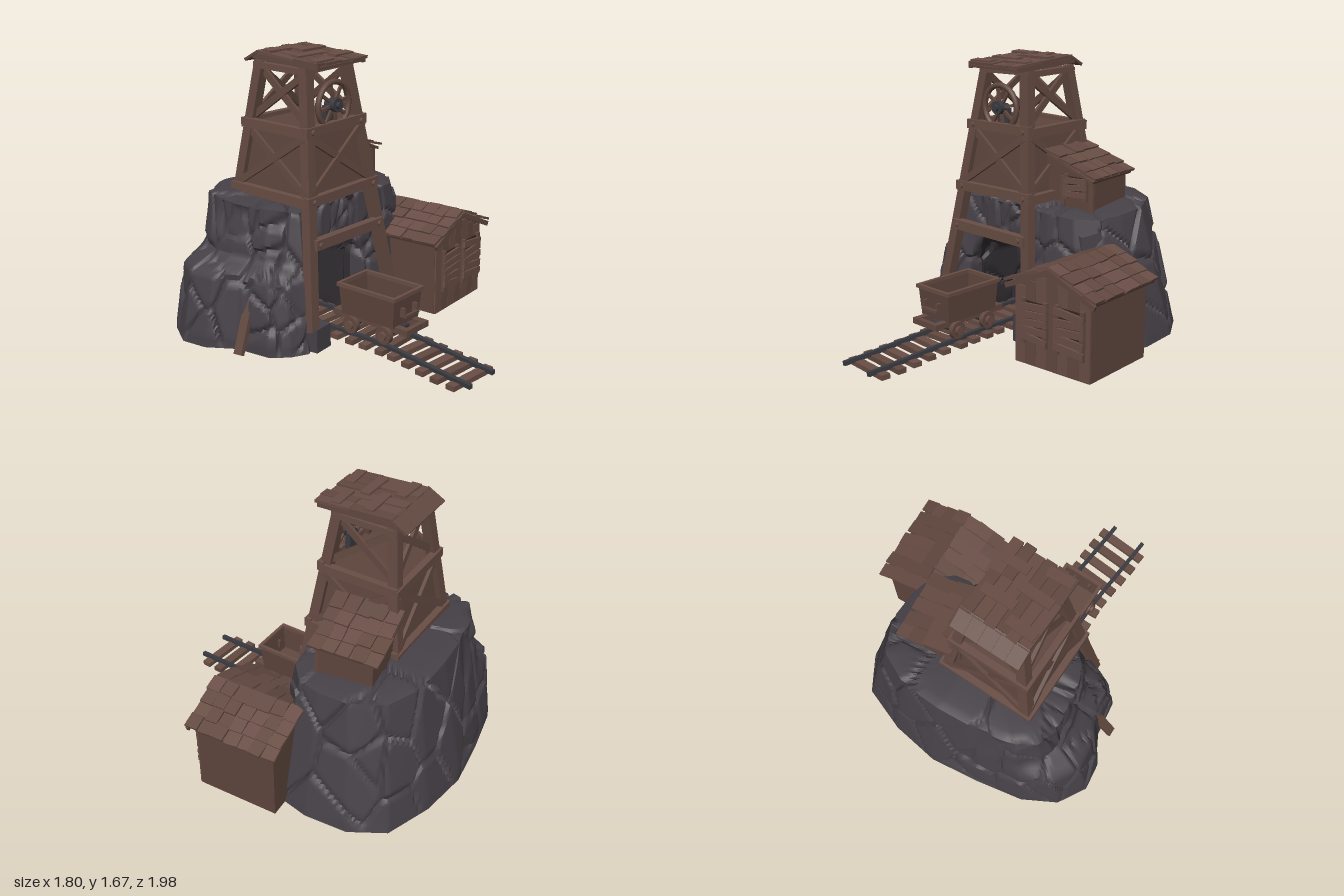
import * as THREE from 'three';
import { toCreasedNormals } from 'three/addons/utils/BufferGeometryUtils.js';

const V = (x, y, z) => new THREE.Vector3(x, y, z);
const lerp = THREE.MathUtils.lerp, smooth = THREE.MathUtils.smoothstep;

export function createModel() {
  let seed = 11;
  const rnd = (a = 0, b = 1) => {
    seed = (seed * 16807) % 2147483647;
    return a + (b - a) * (seed / 2147483647);
  };
  const mat = (name, color, side = THREE.FrontSide) => {
    const m = new THREE.MeshStandardMaterial({ color, side });
    m.name = name;
    return m;
  };
  const wood = mat('wood', 0x624940), paleWood = mat('paleWood', 0x694e45), panelWood = mat('panelWood', 0x5e453d, THREE.DoubleSide);
  const rock = mat('rock', 0x464147), tunnelRock = mat('tunnelRock', 0x302d31);
  const metal = mat('metal', 0x3a3b41), gap = mat('darkGap', 0x33261f);

  const model = new THREE.Group();
  model.name = 'mineHead';
  const group = (name, parent = model) => {
    const g = new THREE.Group();
    g.name = name;
    parent.add(g);
    return g;
  };
  const add = (parent, name, geo, m, x = 0, y = 0, z = 0) => {
    const mesh = new THREE.Mesh(geo, m);
    mesh.name = name;
    mesh.position.set(x, y, z);
    parent.add(mesh);
    return mesh;
  };
  const box = (parent, name, w, h, d, m, x, y, z) => add(parent, name, new THREE.BoxGeometry(w, h, d), m, x, y, z);
  // Square timber between two points
  const beam = (parent, name, p, q, w, d, m = wood) => {
    const dir = q.clone().sub(p), mid = p.clone().add(q).multiplyScalar(0.5);
    const b = box(parent, name, w, dir.length(), d, m, mid.x, mid.y, mid.z);
    b.quaternion.setFromUnitVectors(V(0, 1, 0), dir.normalize());
    return b;
  };

  // ---- Rock hill: base x, z and top x, z around the outline; the last five points form the tunnel
  const outline = [
    [-0.42, -0.03, -0.36, -0.1], [-0.57, 0.06, -0.46, -0.1], [-0.67, 0.01, -0.53, -0.18], [-0.75, -0.08, -0.57, -0.26],
    [-0.78, -0.3, -0.59, -0.34], [-0.88, -0.46, -0.61, -0.45], [-0.9, -0.62, -0.62, -0.58], [-0.8, -0.79, -0.58, -0.7],
    [-0.6, -0.9, -0.48, -0.78], [-0.3, -0.96, -0.25, -0.82], [0, -1, 0, -0.84], [0.3, -0.96, 0.25, -0.83],
    [0.58, -0.86, 0.44, -0.74], [0.7, -0.66, 0.53, -0.55], [0.725, -0.4, 0.53, -0.36], [0.69, -0.2, 0.5, -0.22],
    [0.5, -0.03, 0.39, -0.12], [0.25, -0.01, 0.22, -0.09], [0.08, -0.04, 0.03, -0.1], [0.04, -0.15, 0, -0.1],
    [0, -0.45, -0.08, -0.1], [-0.17, -0.55, -0.17, -0.09], [-0.36, -0.45, -0.26, -0.1], [-0.4, -0.15, -0.32, -0.1]];
  const STEP = 14, COLS = outline.length * STEP, SIDE = 38, ROWS = 52, LAST = outline.length - 1;
  const pos = [], shell = [], tunnel = [];
  for (let j = 0; j <= ROWS; j++) for (let i = 0; i < COLS; i++) {
    const k = Math.floor(i / STEP), f = (i % STEP) / STEP;
    const at = n => lerp(outline[k][n], outline[(k + 1) % outline.length][n], f);
    const y = lerp(0.035, 0.83, Math.min(j / SIDE, 1)), u = (y - 0.035) / 0.795;
    const ledge = y < 0.45 ? u * 0.55 : lerp(0.29, 0.85, smooth(y, 0.43, 0.54)) + 0.15 * smooth(y, 0.54, 0.83);
    let t = lerp(u, ledge, smooth(-at(0), 0.5, 0.72));
    if (k >= LAST - 5) {
      const inside = k === LAST - 5 ? f : k === LAST ? 1 - f : 1;
      t = lerp(t, Math.max(u * 0.15, smooth(y, 0.4, 0.61)), inside);
    }
    const s = Math.max(0, j - SIDE) / (ROWS - SIDE);
    const x = lerp(lerp(at(0), at(2), t), -0.05, s), z = lerp(lerp(at(1), at(3), t), -0.45, s);
    // The top tilts: higher at the back, lower on the right
    pos.push(x, y + 0.035 * Math.sqrt(s) - u * u * ((z + 0.45) * 0.06 + Math.max(0, x) * 0.06), z);
    if (j < ROWS) {
      const a = j * COLS + i, b = j * COLS + (i + 1) % COLS, c = a + COLS, d = b + COLS;
      (k > LAST - 5 && k < LAST && y < 0.56 ? tunnel : shell).push(a, c, b, b, c, d);
    }
  }
  let hill = new THREE.BufferGeometry();
  hill.setAttribute('position', new THREE.Float32BufferAttribute(pos, 3));
  hill.setIndex([...shell, ...tunnel]);
  hill.addGroup(0, shell.length, 0);
  hill.addGroup(shell.length, tunnel.length, 1);
  hill.computeVertexNormals();
  // Split the surface into tall stones with cracks between them
  const P = hill.attributes.position, N = hill.attributes.normal, p = V(), q = V(), n = V(), tall = V(1, 0.7, 1);
  const stones = Array.from({ length: 80 }, () => ({
    c: V().fromBufferAttribute(P, Math.floor(rnd(0, COLS * (SIDE + 4)))).multiply(tall), lift: rnd(-0.004, 0.012) }));
  for (let i = 0; i < P.count; i++) {
    p.fromBufferAttribute(P, i);
    n.fromBufferAttribute(N, i);
    q.copy(p).multiply(tall);
    let d1 = 9, d2 = 9, near = stones[0];
    for (const s of stones) {
      const d = s.c.distanceTo(q);
      if (d < d1) { d2 = d1; d1 = d; near = s; } else if (d < d2) d2 = d;
    }
    const bulge = lerp(-0.02, near.lift, smooth(d2 - d1, 0, 0.032));
    p.addScaledVector(n, bulge * smooth(p.y, 0.035, 0.1));
    P.setXYZ(i, p.x, Math.max(p.y, 0.035), p.z);
  }
  hill = toCreasedNormals(hill, 0.7);
  add(model, 'rockHill', hill, [rock, tunnelRock]);
  const floor = new THREE.ShapeGeometry(new THREE.Shape(outline.map(o => new THREE.Vector2(o[0], o[1]))));
  add(model, 'rockUnderside', floor.rotateX(Math.PI / 2), rock, 0, 0.035, 0);
  box(model, 'leftFooting', 0.13, 0.14, 0.14, rock, -0.48, 0.105, 0.015).rotation.y = 0.1;
  box(model, 'rightFooting', 0.13, 0.17, 0.14, rock, 0.17, 0.12, 0.01).rotation.y = -0.1;
  const boulder = add(model, 'boulder', new THREE.DodecahedronGeometry(0.14), rock, 0.41, 0.65, -0.22);
  boulder.scale.set(1, 0.85, 0.8);
  boulder.rotation.y = 0.4;
  beam(model, 'leaningPlank', V(-0.835, 0.04, -0.23), V(-0.7, 0.34, -0.26), 0.025, 0.06);

  // ---- Head frame tower, tapering upward
  const tower = group('tower');
  tower.position.set(-0.168, 0, -0.32);
  const half = y => 0.265 + (0.85 - y) * 0.135;
  const corner = (sx, sz, y) => V(sx * half(y), y, sz * (half(y) + 0.005));
  for (const sx of [-1, 1]) for (const sz of [-1, 1])
    beam(tower, 'leg', corner(sx, sz, sz > 0 ? 0.15 : 0.75), corner(sx, sz, 1.6), 0.06, 0.06);
  const cladding = new THREE.CylinderGeometry(half(1.25) * Math.SQRT2, half(0.86) * Math.SQRT2, 0.39, 4).rotateY(Math.PI / 4);
  add(tower, 'cladding', toCreasedNormals(cladding, 0.3), panelWood, 0, 1.055, 0);
  const bolt = (x, y, z) => add(tower, 'bolt', new THREE.CylinderGeometry(0.016, 0.016, 0.02, 8).rotateX(Math.PI / 2), paleWood, x, y, z);
  for (const y of [0.872, 1.25, 1.58]) for (const s of [-1, 1]) {
    const top = y > 1.5, h = half(y) + (top ? 0.015 : 0.025), t = top ? 0.035 : 0.055;
    beam(tower, 'crossBeam', V(-h - 0.02, y, s * h), V(h + 0.02, y + 0.008 * s, s * h), t, 0.04, paleWood);
    beam(tower, 'sideBeam', V(s * h, y, -h - 0.01), V(s * h, y - 0.006, h + 0.01), 0.04, t, paleWood);
    if (!top) bolt(s * (h - 0.03), y, h + 0.025);
  }
  beam(tower, 'portalBeam', V(-0.29, 0.635, 0.325), V(0.3, 0.63, 0.325), 0.06, 0.05, paleWood);
  for (const s of [-1, 1]) bolt(s * 0.26, 0.633, 0.355);
  // Crossed braces on the clad part and on the open part above
  for (const [lo, hi, out, open] of [[0.9, 1.22, 0.02, false], [1.28, 1.56, -0.005, true]]) for (const s of [-1, 1]) for (const e of [-1, 1]) {
    const a = corner(-e, s, lo), b = corner(e, s, hi);
    a.z += out * s; b.z += (out + 0.006 * e) * s;
    if (!open || s < 0) beam(tower, 'brace', a, b, 0.04, 0.02);
    const c = corner(s, -e, lo), d = corner(s, e, hi);
    c.x += out * s; d.x += (out + 0.006 * e) * s;
    beam(tower, 'sideBrace', c, d, 0.02, 0.04);
  }
  // Patched plank roof
  const towerRoof = group('towerRoof', tower);
  towerRoof.position.set(0, 1.635, 0.065);
  towerRoof.rotation.x = 0.075;
  box(towerRoof, 'roofDeck', 0.39, 0.014, 0.46, wood, 0, -0.012, 0);
  for (let i = 0; i < 6; i++) {
    const cut = rnd(-0.08, 0.1), x = -0.173 + i * 0.069;
    for (const [a, b] of [[-0.24, cut], [cut, 0.235 + rnd(-0.02, 0.015)]])
      box(towerRoof, 'roofPlank', 0.064, 0.016, b - a, rnd() > 0.5 ? wood : paleWood, x, rnd(0, 0.008), (a + b) / 2).rotation.y = rnd(-0.04, 0.04);
  }
  for (const [x, z, w] of [[-0.11, -0.16, 0.17], [0.08, -0.08, 0.2], [-0.07, 0.03, 0.2], [0.11, 0.12, 0.16], [-0.12, 0.18, 0.15]])
    box(towerRoof, 'patchPlank', w, 0.014, 0.06, paleWood, x, 0.017, z).rotation.y = rnd(-0.08, 0.08);
  for (let i = 0; i < 5; i++)
    box(tower, 'backRoofPlank', 0.082, 0.016, 0.12, wood, -0.166 + i * 0.083, 1.63, -0.21).rotation.x = -0.5;
  for (const s of [-1, 1]) beam(tower, 'rafter', V(s * 0.19, 1.608, 0.29), V(s * 0.19, 1.63, -0.2), 0.025, 0.03);

  // Winding wheel
  const wheel = group('windingWheel', tower);
  wheel.position.set(0, 1.372, 0.225);
  add(wheel, 'rim', new THREE.TorusGeometry(0.13, 0.017, 8, 32), wood);
  for (let i = 0; i < 8; i++) {
    const a = i * Math.PI / 4 + 0.2;
    beam(wheel, 'spoke', V(0, 0, 0), V(Math.cos(a) * 0.13, Math.sin(a) * 0.13, 0), 0.018, 0.014);
  }
  const disc = (parent, name, r, d, m, x, y, z, alongX) => {
    const g = new THREE.CylinderGeometry(r, r, d, 18);
    return add(parent, name, alongX ? g.rotateZ(Math.PI / 2) : g.rotateX(Math.PI / 2), m, x, y, z);
  };
  disc(wheel, 'hub', 0.04, 0.05, metal, 0, 0, 0.01);
  disc(wheel, 'axle', 0.02, 0.11, metal, 0, 0, 0);
  box(wheel, 'bearingPost', 0.08, 0.13, 0.03, metal, 0, -0.07, -0.035);

  // ---- Sheds: roof slope runs down along local +x from the ridge
  const slope = (parent, angle, len, depth, rows, cols, turn = 0) => {
    const pivot = group('roofSlope', parent), g = group('shingles', pivot);
    pivot.rotation.y = turn;
    g.rotation.z = -angle;
    box(g, 'roofBoard', len * 0.97, 0.015, depth * 0.96, wood, len / 2, -0.01, 0);
    for (let r = 0; r < rows; r++) for (let c = 0; c < cols; c++) {
      const l = len / rows * rnd(1.05, 1.3), w = depth / cols;
      const tile = box(g, 'shingle', l, 0.014, w * rnd(0.9, 1.04), rnd() > 0.5 ? wood : paleWood,
        (r + 0.5) * len / rows, 0.009 + rnd(0, 0.006), (c + 0.5) * w - depth / 2 + rnd(-0.008, 0.008));
      tile.rotation.set(0, rnd(-0.08, 0.08), 0.1);
    }
    return pivot;
  };
  const walls = (parent, pts, depth) => add(parent, 'walls',
    new THREE.ExtrudeGeometry(new THREE.Shape(pts.map(c => new THREE.Vector2(...c))), { depth, bevelEnabled: false }), panelWood, 0, 0, -depth / 2);
  const boardedWindow = (parent, x, y, w, h, z, count) => {
    box(parent, 'windowGap', w, h, 0.008, gap, x, y, z + 0.002);
    for (const s of [-1, 1]) box(parent, 'windowPost', 0.025, h + 0.03, 0.024, wood, x + s * w / 2, y, z + 0.008);
    for (let i = 0; i < count; i++)
      box(parent, 'windowBoard', w + 0.03, h / count * 0.82, 0.016, paleWood, x, y - h / 2 + (i + 0.5) * h / count, z + 0.018).rotation.z = rnd(-0.13, 0.13);
  };

  const shed = group('shed');
  shed.position.set(0.565, 0, 0.01);
  shed.rotation.y = 0.06;
  walls(shed, [[-0.26, 0.04], [0.26, 0.04], [0.26, 0.49], [0, 0.615], [-0.26, 0.49]], 0.5);
  for (let i = 0; i < 7; i++) { // upright front boards
    const x = -0.222 + i * 0.074, top = 0.6 - Math.abs(x) * 0.48;
    box(shed, 'frontBoard', 0.071, top - 0.04, 0.012, i % 2 ? wood : paleWood, x, (top + 0.04) / 2, 0.253);
  }
  boardedWindow(shed, -0.11, 0.3, 0.15, 0.23, 0.262, 5);
  boardedWindow(shed, 0.13, 0.3, 0.17, 0.25, 0.262, 5);
  const shedRoof = group('shedRoof', shed);
  shedRoof.position.y = 0.635;
  slope(shedRoof, 0.43, 0.335, 0.58, 4, 7);
  slope(shedRoof, 0.43, 0.335, 0.58, 4, 7, Math.PI);
  for (const s of [-1, 1]) beam(shedRoof, 'gableBoard', V(0, -0.02, 0.285), V(s * 0.305, -0.155, 0.285), 0.03, 0.016);

  const hut = group('upperHut');
  hut.position.set(0.235, 0, -0.425);
  hut.rotation.y = 0.1;
  walls(hut, [[-0.2, 0.78], [0.155, 0.78], [0.155, 0.99], [-0.2, 1.12]], 0.33);
  for (const x of [-0.06, 0.145]) box(hut, 'cornerPost', 0.03, 0.22, 0.02, wood, x, 0.885, 0.17);
  boardedWindow(hut, 0.035, 0.935, 0.13, 0.12, 0.168, 3);
  const hutRoof = slope(hut, 0.39, 0.365, 0.42, 4, 5);
  hutRoof.position.set(-0.16, 1.13, 0);

  // ---- Track curving slightly and sinking toward its end
  const track = group('track');
  const bend = z => -0.178 - 0.04 * Math.max(0, (z - 0.4) / 0.55);
  const height = z => 0.062 - 0.05 * smooth(z, 0.2, 1.1);
  for (let i = 0; i < 14; i++) {
    const z = 0.897 - i * 0.105;
    const s = box(track, 'sleeper', rnd(0.33, 0.355), 0.03, 0.055, i % 2 ? wood : paleWood, bend(z), height(z), z);
    s.rotation.y = z > 0.4 ? -0.08 : rnd(-0.04, 0.04);
  }
  for (const s of [-1, 1]) for (let i = 0; i < 12; i++) {
    const z = -0.46 + i * 0.12, e = z + 0.122;
    beam(track, 'rail', V(bend(z) + s * 0.108, height(z) + 0.022, z), V(bend(e) + s * 0.108, height(e) + 0.022, e), 0.024, 0.026, metal);
  }

  // ---- Mine cart
  const cart = group('mineCart');
  cart.position.set(-0.175, 0, 0.25);
  const tub = new THREE.CylinderGeometry(Math.SQRT1_2, Math.SQRT1_2 * 0.92, 0.18, 4, 1, true).rotateY(Math.PI / 4).scale(0.255, 1, 0.4);
  add(cart, 'tub', toCreasedNormals(tub, 0.3), panelWood, 0, 0.285, 0);
  box(cart, 'tubFloor', 0.225, 0.02, 0.36, wood, 0, 0.205, 0);
  for (const s of [-1, 1]) {
    box(cart, 'sideRim', 0.02, 0.022, 0.42, paleWood, s * 0.127, 0.372, 0);
    box(cart, 'endRim', 0.25, 0.022, 0.02, paleWood, 0, 0.372, s * 0.2);
    box(cart, 'chassisRail', 0.04, 0.035, 0.52, wood, s * 0.08, 0.183, 0.01);
    box(cart, 'bumper', 0.2, 0.035, 0.03, wood, 0, 0.18, s * 0.25);
    box(cart, 'handlePost', 0.015, 0.055, 0.05, wood, s * 0.055, 0.28, 0.2);
    disc(cart, 'axle', 0.02, 0.22, metal, 0, 0.14, s * 0.12, true);
    for (const e of [-1, 1]) {
      disc(cart, 'wheel', 0.052, 0.03, wood, e * 0.112, 0.14, s * 0.12, true);
      disc(cart, 'wheelCap', 0.026, 0.02, paleWood, e * 0.132, 0.14, s * 0.12, true);
    }
  }
  box(cart, 'handleBar', 0.125, 0.016, 0.016, wood, 0, 0.26, 0.225);
  return model;
}
